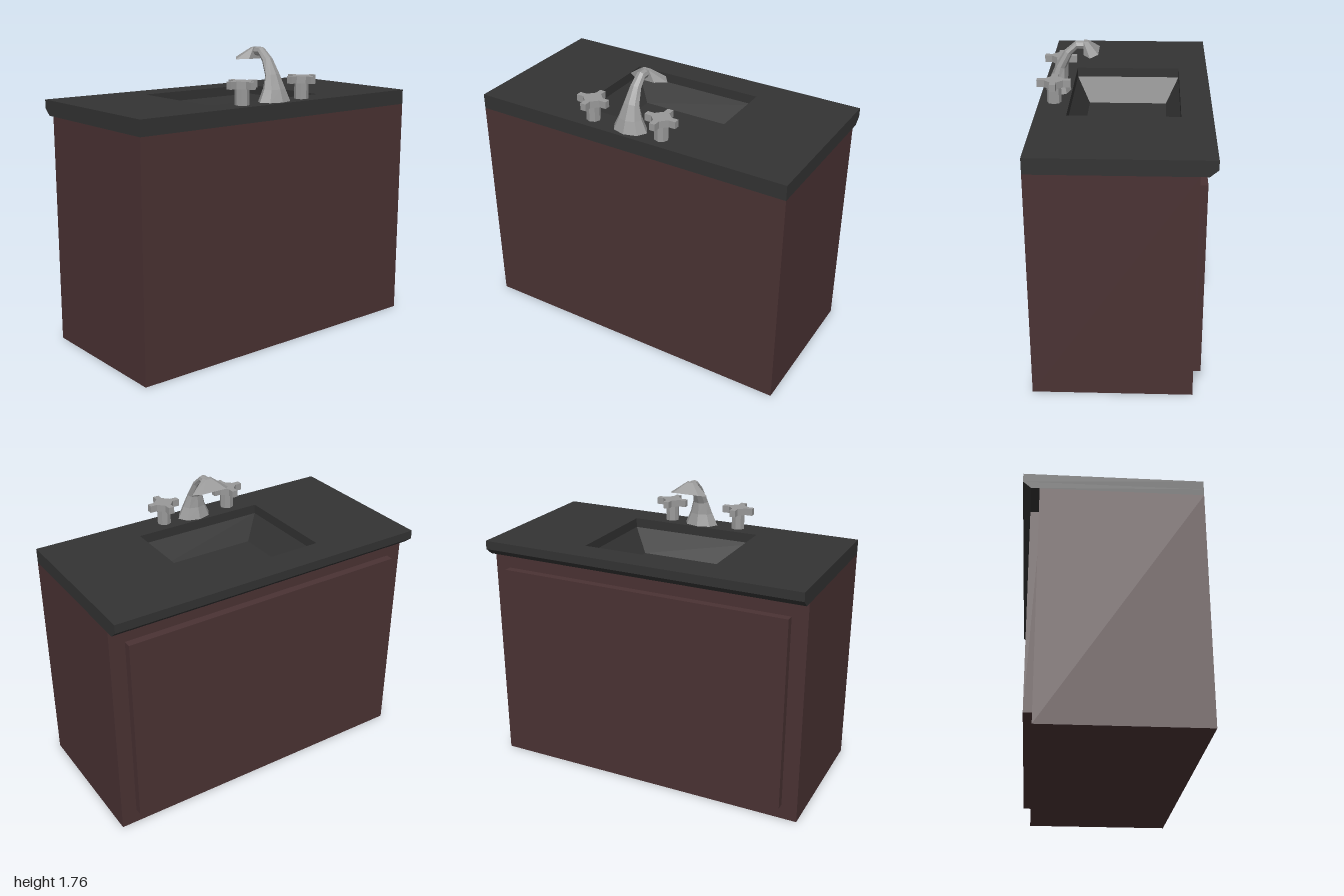
import * as THREE from 'three';
import { ConvexGeometry } from 'three/addons/geometries/ConvexGeometry.js';

const paint = (color) => new THREE.MeshStandardMaterial({ color, flatShading: true });
const wood = paint(0x4a3233);
const stone = paint(0x333333);
const metal = paint(0x999999);

function add(parent, name, geometry, material, x = 0, y = 0, z = 0) {
  const mesh = new THREE.Mesh(geometry, material);
  mesh.name = name;
  mesh.position.set(x, y, z);
  parent.add(mesh);
  return mesh;
}

// Skin a list of rings, each running counterclockwise seen from above
function loft(rings) {
  const n = rings[0].length;
  const index = [];
  for (let r = 0; r < rings.length - 1; r++) {
    for (let i = 0; i < n; i++) {
      const j = (i + 1) % n;
      const a = r * n + i, b = r * n + j, c = b + n, d = a + n;
      index.push(a, b, c, a, c, d);
    }
  }
  const geometry = new THREE.BufferGeometry();
  geometry.setAttribute('position', new THREE.Float32BufferAttribute(rings.flat(2), 3));
  geometry.setIndex(index);
  const flat = geometry.toNonIndexed();
  flat.computeVertexNormals();
  return flat;
}

const rectRing = ([w, z0, z1, y]) => [[-w, y, z0], [-w, y, z1], [w, y, z1], [w, y, z0]];

// Octagon spanning an inner and an outer point of the side profile
function spoutRing([zi, yi, zo, yo, w]) {
  return Array.from({ length: 8 }, (_, i) => {
    const t = (i * Math.PI) / 4;
    const f = (1 + Math.cos(t)) / 2;
    return [w * Math.sin(t), yi + (yo - yi) * f, zi + (zo - zi) * f];
  });
}

function makeHandle() {
  const handle = new THREE.Group();
  handle.name = 'tapHandle';
  add(handle, 'handleStem', new THREE.CylinderGeometry(0.042, 0.042, 0.1, 8), metal, 0, 1.506, 0);
  // Four-armed cross with a widened hub
  const points = [];
  for (let i = 0; i < 4; i++) {
    for (const [x, y] of [[0.055, -0.018], [0.098, -0.018], [0.098, 0.018], [0.055, 0.018]]) {
      points.push(new THREE.Vector2(x, y).rotateAround(new THREE.Vector2(), (i * Math.PI) / 2));
    }
  }
  const cross = new THREE.ExtrudeGeometry(new THREE.Shape(points), { depth: 0.042, bevelEnabled: false });
  cross.rotateX(-Math.PI / 2);
  add(handle, 'handleCross', cross, metal, 0, 1.552, 0);
  return handle;
}

function makeSpout() {
  const spout = new THREE.Group();
  spout.name = 'spout';
  // Inner z, inner y, outer z, outer y, half width
  const sections = [
    [0.325, 1.455, 0.478, 1.455, 0.11],
    [0.345, 1.53, 0.453, 1.53, 0.075],
    [0.352, 1.6, 0.415, 1.615, 0.05],
    [0.315, 1.68, 0.36, 1.705, 0.035],
    [0.285, 1.712, 0.29, 1.763, 0.028],
    [0.235, 1.71, 0.235, 1.763, 0.028],
  ];
  add(spout, 'spoutNeck', loft(sections.map(spoutRing)), metal);

  // Flared outlet
  const head = [];
  for (const s of [-1, 1]) {
    for (const [x, y, z] of [
      [0.123, 1.692, 0.203], [0.085, 1.703, 0.157], [0.06, 1.693, 0.245],
      [0.026, 1.762, 0.245], [0.02, 1.76, 0.218],
    ]) head.push(new THREE.Vector3(s * x, y, z));
  }
  add(spout, 'spoutHead', new ConvexGeometry(head), metal);
  return spout;
}

export function createModel() {
  const model = new THREE.Group();
  model.name = 'vanity';

  // Cabinet, open on top so that the basin can sink into it
  const body = new THREE.BoxGeometry(2, 1.367, 0.908);
  const faces = Array.from(body.index.array);
  faces.splice(12, 6);
  body.setIndex(faces);
  body.clearGroups();
  add(model, 'cabinet', body, wood, 0, 0.6835, 0.041);
  add(model, 'doorPanel', new THREE.BoxGeometry(1.81, 1.182, 0.06), wood, 0, 0.684, -0.43);

  // Countertop with bevelled lip, running on into the sunken basin
  const counter = [
    [1, -0.4, 0.495, 1.367],
    [1, -0.46, 0.495, 1.367],
    [1, -0.505, 0.495, 1.406],
    [1, -0.505, 0.495, 1.458],
    [0.414, -0.326, 0.317, 1.458],
    [0.414, -0.326, 0.317, 1.4],
    [0.312, -0.248, 0.237, 1.26],
    [0, 0, 0, 1.26],
  ];
  add(model, 'countertopAndBasin', loft(counter.map(rectRing)), stone);

  // Taps
  const spout = makeSpout();
  spout.position.set(-0.01, 0, -0.002);
  model.add(spout);
  for (const x of [-0.256, 0.198]) {
    const handle = makeHandle();
    handle.position.set(x, 0, 0.405);
    model.add(handle);
  }
  return model;
}
